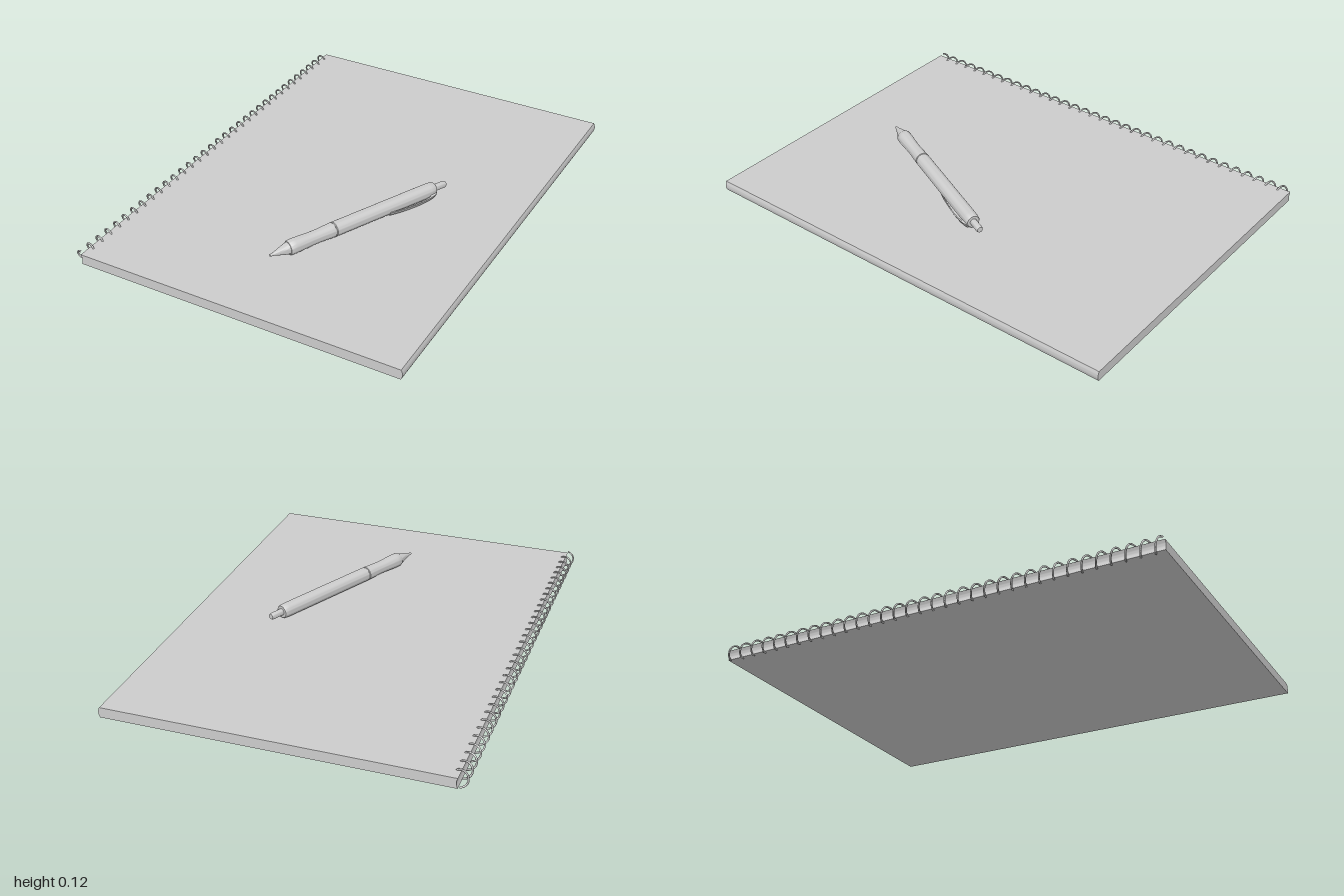
import * as THREE from 'three';
import { toCreasedNormals } from 'three/addons/utils/BufferGeometryUtils.js';

const grey = new THREE.MeshStandardMaterial({ color: 0xcccccc });

function part(name, geometry) {
  const mesh = new THREE.Mesh(toCreasedNormals(geometry, 0.6), grey);
  mesh.name = name;
  return mesh;
}

// Page block: bulging fore edge, hollow spine, extruded along z
function createPages() {
  const bottom = 0.008, top = 0.053, middle = 0.031;
  const s = new THREE.Shape();
  s.moveTo(-0.717, bottom);
  s.lineTo(0.741, bottom);
  s.quadraticCurveTo(0.753, middle, 0.741, top);
  s.lineTo(-0.717, top);
  s.quadraticCurveTo(-0.705, middle, -0.717, bottom);
  const g = new THREE.ExtrudeGeometry(s, { depth: 2, bevelEnabled: false, curveSegments: 8 });
  return part('notebook', g.translate(0, 0, -1));
}

// Wire helix along the spine
class Helix extends THREE.Curve {
  constructor(turns) {
    super();
    this.turns = turns;
  }
  getPoint(t, target = new THREE.Vector3()) {
    const a = Math.PI / 2 + t * this.turns * Math.PI * 2;
    return target.set(
      -0.72 + 0.029 * Math.cos(a),
      0.033 + 0.029 * Math.sin(a),
      0.992 - t * this.turns * 0.059
    );
  }
}

function createCoil() {
  const turns = 33.5;
  const g = new THREE.TubeGeometry(new Helix(turns), Math.round(turns * 24), 0.004, 6);
  const mesh = new THREE.Mesh(g, grey);
  mesh.name = 'spiralBinding';
  return mesh;
}

// Turned pen part: pairs of radius and distance from the tip
function turned(name, profile) {
  const points = profile.map(([r, d]) => new THREE.Vector2(r, d));
  return part(name, new THREE.LatheGeometry(points, 32).rotateX(-Math.PI / 2));
}

function createPen() {
  const pen = new THREE.Group();
  pen.name = 'pen';
  pen.add(
    turned('penTip', [[0, 0], [0.005, 0.003], [0.007, 0.02], [0.016, 0.05], [0.023, 0.075], [0.027, 0.095]]),
    turned('penGrip', [
      [0, 0.09], [0.029, 0.09], [0.032, 0.096], [0.0325, 0.12], [0.031, 0.16],
      [0.029, 0.2], [0.029, 0.24], [0.031, 0.28], [0.032, 0.31], [0.029, 0.312], [0.029, 0.316]
    ]),
    turned('penBarrel', [[0.029, 0.314], [0.032, 0.317], [0.032, 0.81], [0.03, 0.836], [0.027, 0.841], [0, 0.841]]),
    turned('penButton', [[0.015, 0.835], [0.015, 0.897], [0.012, 0.905], [0, 0.907]])
  );

  // Clip: thin bowed strip, rooted near the button
  const s = new THREE.Shape();
  s.moveTo(0.026, 0.835);
  s.lineTo(0.033, 0.835);
  s.bezierCurveTo(0.05, 0.79, 0.046, 0.66, 0.034, 0.585);
  s.lineTo(0.031, 0.587);
  s.bezierCurveTo(0.04, 0.66, 0.043, 0.76, 0.034, 0.8);
  s.lineTo(0.026, 0.8);
  s.closePath();
  const width = 0.022;
  const g = new THREE.ExtrudeGeometry(s, { depth: width, bevelEnabled: false, curveSegments: 10 });
  g.translate(0, 0, -width / 2).rotateX(-Math.PI / 2).rotateZ(-0.5);
  pen.add(part('penClip', g));

  pen.position.set(-0.018, 0.087, 0.677);
  pen.rotation.y = -0.442;
  return pen;
}

export function createModel() {
  const model = new THREE.Group();
  model.name = 'notebookWithPen';
  model.add(createPages(), createCoil(), createPen());
  return model;
}
